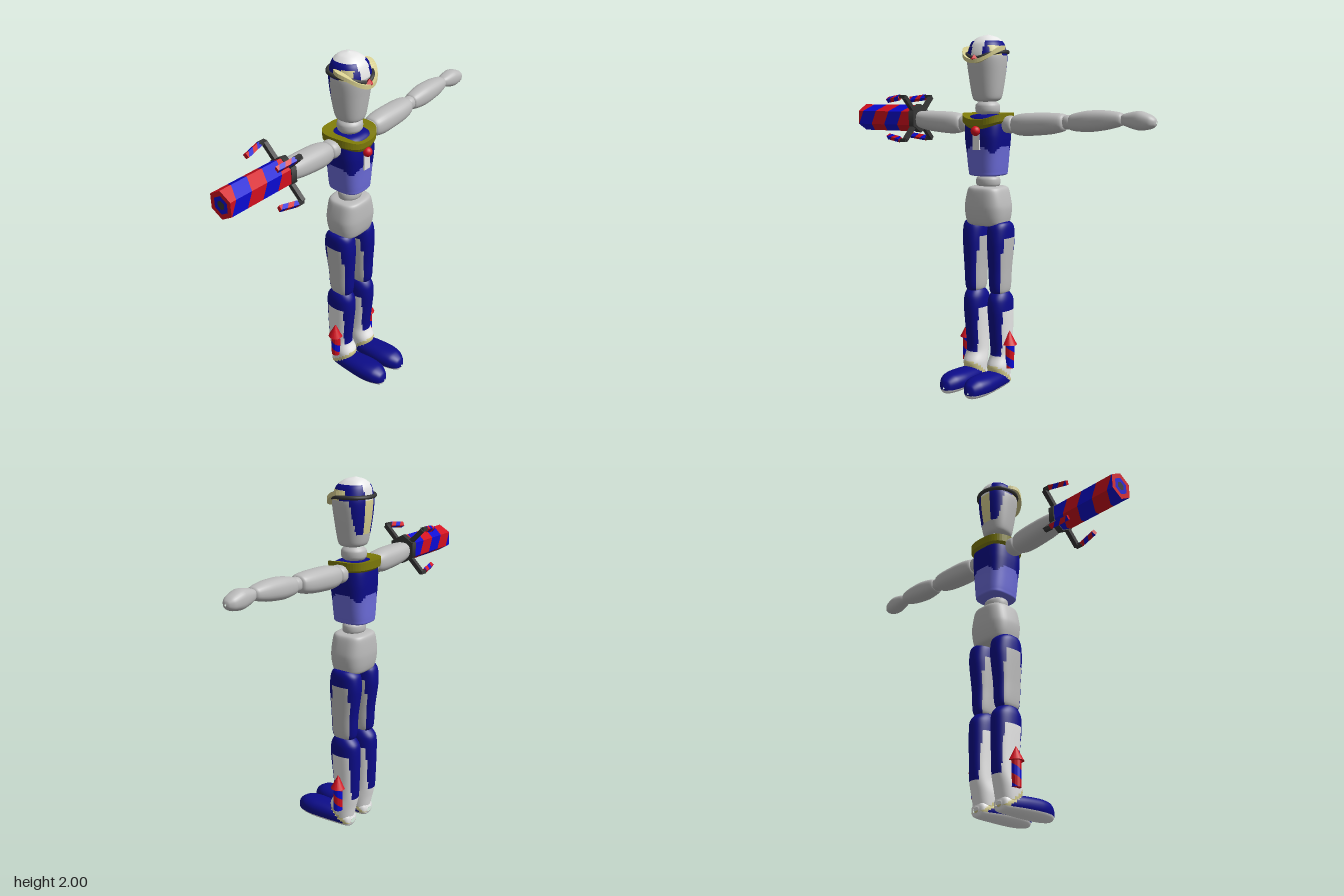
import * as THREE from 'three';

const mat = (name, color, side = THREE.FrontSide) => {
  const m = new THREE.MeshStandardMaterial({ color, side });
  m.name = name;
  return m;
};
const M = {
  grey: mat('body grey', 0xbcbcbc),
  white: mat('armour white', 0xe6e6e6),
  navy: mat('navy', 0x0c0c8a),
  blue: mat('bright blue', 0x0a0ad2),
  red: mat('red', 0xd20f1e),
  lilac: mat('periwinkle', 0x6c6cda),
  olive: mat('olive', 0x7d7a08, THREE.DoubleSide),
  dark: mat('dark grey', 0x363636),
  gold: mat('pale gold', 0xd8d090),
};

function add(parent, name, geo, material, x = 0, y = 0, z = 0) {
  const m = new THREE.Mesh(geo, material);
  m.name = name;
  m.position.set(x, y, z);
  parent.add(m);
  return m;
}

// Grid surface: u runs round, v runs along; paint(point, u) picks the face material
function surface(parent, name, fn, nu, nv, paint, closed = true, flat = false) {
  const cols = closed ? nu : nu + 1, pts = [], lists = new Map();
  for (let j = 0; j <= nv; j++) for (let i = 0; i < cols; i++) pts.push(fn(i / nu, j / nv));
  for (let j = 0; j < nv; j++) for (let i = 0; i < nu; i++) {
    const k = (i + 1) % cols, a = j * cols + i, b = j * cols + k, c = a + cols, d = b + cols;
    const mid = pts[a].clone().add(pts[d]).multiplyScalar(0.5);
    const m = paint(mid, (i + 0.5) / nu);
    if (!lists.has(m)) lists.set(m, []);
    lists.get(m).push(a, c, b, b, c, d);
  }
  let geo = new THREE.BufferGeometry().setFromPoints(pts);
  const mats = [...lists.keys()], index = [];
  mats.forEach((m, i) => {
    geo.addGroup(index.length, lists.get(m).length, i);
    index.push(...lists.get(m));
  });
  geo.setIndex(index);
  if (flat) {
    const groups = geo.groups;
    geo = geo.toNonIndexed();
    geo.groups = groups;
  }
  geo.computeVertexNormals();
  return add(parent, name, geo, mats);
}

// Rounded body lofted along y through keys [y, cx, cz, rx, rz]
function loft(parent, name, keys, paint, n = 2, nu = 48, nv = 44) {
  const path = new THREE.CatmullRomCurve3(keys.map(k => new THREE.Vector3(k[1], k[0], k[2])), false, 'catmullrom', 0.4);
  const size = new THREE.CatmullRomCurve3(keys.map(k => new THREE.Vector3(k[3], 0, k[4])), false, 'catmullrom', 0.4);
  const round = t => Math.sign(t) * Math.abs(t) ** (2 / n);
  return surface(parent, name, (u, v) => {
    const p = path.getPoint(v), s = size.getPoint(v), a = u * Math.PI * 2;
    p.x += round(Math.cos(a)) * Math.max(s.x, 0.001);
    p.z += round(Math.sin(a)) * Math.max(s.z, 0.001);
    return p;
  }, nu, nv, paint);
}

// Prism along +y wrapped in a two-colour helix
function stripedRod(parent, name, r, len, sides, pitch, phase) {
  const g = new THREE.Group(), step = Math.PI * 2 / sides;
  g.name = name;
  add(g, name + 'Core', new THREE.CylinderGeometry(r * 0.97, r * 0.97, len - 0.002, sides), M.red, 0, len / 2, 0);
  for (let n = -4; n < len / pitch * 2 + 2; n++) {
    const start = phase + n * pitch / 2;
    if (start > len || start + pitch * 1.5 < 0) continue;
    surface(g, name + 'Stripe', (u, v) => {
      const a = u * Math.PI * 2;
      const off = (((a - Math.PI / 2) % step) + step) % step - step / 2;
      const rad = r * Math.cos(step / 2) / Math.cos(off);
      const y = THREE.MathUtils.clamp(start + pitch * (u + v / 2), 0, len);
      return new THREE.Vector3(Math.cos(a) * rad, y, Math.sin(a) * rad);
    }, 36, 1, () => (n % 2 ? M.red : M.blue), false, true);
  }
  parent.add(g);
  return g;
}

// Gold ankle strap line: negative is heel, small positive is strap
const strap = (x, y) => (x + 0.13) - (y - 0.04) * 1.33;

function buildLeg(body, side) {
  const leg = new THREE.Group();
  leg.name = side > 0 ? 'rightLeg' : 'leftLeg';
  leg.position.z = side * 0.083;
  body.add(leg);
  const panel = (u, limit) => Math.abs(Math.cos(u * Math.PI * 2)) < limit;
  loft(leg, 'thigh', [[0.54, -0.09, 0, 0.01, 0.01], [0.57, -0.09, 0, 0.07, 0.046], [0.7, -0.09, 0, 0.08, 0.055],
    [0.85, -0.095, 0, 0.094, 0.063], [0.93, -0.095, 0, 0.086, 0.063], [0.962, -0.09, 0, 0.06, 0.05], [0.97, -0.09, 0, 0.01, 0.01]],
  (p, u) => (p.y < 0.88 && panel(u, p.y > 0.8 ? 0.5 : 0.72) ? M.grey : M.navy), 2.4);
  loft(leg, 'shin', [[0.02, -0.09, 0, 0.03, 0.03], [0.05, -0.085, 0, 0.055, 0.055], [0.13, -0.082, 0, 0.078, 0.064],
    [0.2, -0.105, 0, 0.072, 0.058], [0.3, -0.103, 0, 0.08, 0.058], [0.45, -0.096, 0, 0.09, 0.063],
    [0.52, -0.095, 0, 0.085, 0.061], [0.56, -0.09, 0, 0.055, 0.045], [0.572, -0.09, 0, 0.01, 0.01]],
  (p, u) => {
    if (p.y < 0.14 && strap(p.x, p.y) > -0.012) return M.gold;
    return p.y > 0.46 || (p.y > 0.19 && !panel(u, 0.62 + (0.46 - p.y) * 0.6)) ? M.navy : M.white;
  }, 2.2);
  // Shoe, lofted heel to toe
  const shoe = loft(leg, 'shoe', [[-0.15, -0.045, 0, 0.015, 0.02], [-0.13, -0.05, 0, 0.042, 0.05], [-0.02, -0.057, 0, 0.052, 0.068],
    [0.1, -0.06, 0, 0.056, 0.075], [0.17, -0.059, 0, 0.053, 0.063], [0.215, -0.05, 0, 0.037, 0.036], [0.23, -0.045, 0, 0.005, 0.005]],
  p => {
    if (-p.x < 0.034) return M.white;
    const d = strap(p.y, -p.x);
    return d < -0.012 ? M.white : d < 0.02 ? M.gold : M.navy;
  }, 2.3);
  shoe.rotation.z = -Math.PI / 2;
  // Rocket on the outer ankle
  const rocket = stripedRod(leg, 'rocketShaft', 0.027, 0.14, 12, 0.1, 0.02);
  rocket.position.set(-0.09, 0.125, side * 0.065);
  add(leg, 'rocketTip', new THREE.ConeGeometry(0.042, 0.08, 16), M.red, -0.09, 0.302, side * 0.065);
}

function buildArm(body, side) {
  const arm = new THREE.Group(), grey = () => M.grey;
  arm.name = side > 0 ? 'cannonArm' : 'openArm';
  arm.rotation.x = side * Math.PI / 2;
  body.add(arm);
  // keys: distance out, height, radius across, radius up
  const limb = (name, keys) => loft(arm, name, keys.map(([d, h, rx, ry]) => [d, -0.09, -side * h, rx, ry]), grey, 2.4, 28, 24);
  limb('shoulderJoint', [[0.1, 1.51, 0.01, 0.01], [0.125, 1.51, 0.05, 0.045], [0.17, 1.51, 0.05, 0.045], [0.19, 1.51, 0.01, 0.01]]);
  limb('upperArm', [[0.172, 1.51, 0.01, 0.01], [0.18, 1.51, 0.05, 0.048], [0.25, 1.512, 0.064, 0.062], [0.4, 1.52, 0.064, 0.058],
    [0.485, 1.527, 0.05, 0.045], [0.497, 1.528, 0.01, 0.01]]);
  limb('elbowJoint', [[0.48, 1.53, 0.01, 0.01], [0.495, 1.53, 0.035, 0.035], [0.53, 1.53, 0.035, 0.035], [0.545, 1.53, 0.01, 0.01]]);
  if (side > 0) return;
  limb('forearm', [[0.525, 1.53, 0.01, 0.01], [0.535, 1.53, 0.042, 0.042], [0.63, 1.537, 0.056, 0.056], [0.74, 1.545, 0.053, 0.05],
    [0.82, 1.55, 0.038, 0.033], [0.835, 1.55, 0.01, 0.01]]);
  limb('hand', [[0.815, 1.55, 0.02, 0.02], [0.85, 1.549, 0.037, 0.034], [0.92, 1.546, 0.047, 0.049], [0.98, 1.54, 0.04, 0.036],
    [1.005, 1.538, 0.022, 0.02], [1.012, 1.537, 0.005, 0.005]]);
}

function buildCannon(body) {
  const cannon = new THREE.Group();
  cannon.name = 'cannon';
  cannon.position.set(-0.088, 1.533, 0.5);
  body.add(cannon);
  stripedRod(cannon, 'barrel', 0.078, 0.41, 6, 0.2, 0.09).rotation.x = Math.PI / 2;
  add(cannon, 'muzzleRim', new THREE.RingGeometry(0.05, 0.078, 6, 1, Math.PI / 6), M.red, 0, 0, 0.4105);
  add(cannon, 'muzzleInner', new THREE.RingGeometry(0.025, 0.05, 6, 1, Math.PI / 6), M.blue, 0, 0, 0.4105);
  add(cannon, 'muzzleBore', new THREE.CircleGeometry(0.025, 6, Math.PI / 6), M.dark, 0, 0, 0.4105);
  add(cannon, 'mount', new THREE.CylinderGeometry(0.083, 0.083, 0.035, 6), M.dark, 0, 0, -0.004).rotation.x = Math.PI / 2;
  // Four prongs carrying small striped rods
  for (const sx of [-1, 1]) for (const sy of [-1, 1]) {
    const strut = add(cannon, 'strut', new THREE.BoxGeometry(0.11, 0.024, 0.025), M.dark, sx * 0.084, sy * 0.084, 0);
    strut.rotation.z = sx * sy * Math.PI / 4;
    add(cannon, 'prong', new THREE.BoxGeometry(0.02, 0.02, 0.045), M.dark, sx * 0.12, sy * 0.125, 0.018);
    const rod = stripedRod(cannon, 'rod', 0.018, 0.11, 4, 0.07, 0);
    rod.position.set(sx * 0.122, sy * 0.122, 0.035);
    rod.quaternion.setFromUnitVectors(new THREE.Vector3(0, 1, 0), new THREE.Vector3(-sx * 0.18, -sy * 0.14, 1).normalize());
  }
}

function buildHead(body) {
  const head = new THREE.Group();
  head.name = 'head';
  body.add(head);
  loft(head, 'helmetAndFace', [[1.63, -0.075, 0, 0.01, 0.01], [1.637, -0.075, 0, 0.055, 0.055], [1.66, -0.08, 0, 0.077, 0.08],
    [1.78, -0.08, 0, 0.097, 0.1], [1.88, -0.078, 0, 0.106, 0.109], [1.95, -0.082, 0, 0.09, 0.09],
    [1.985, -0.088, 0, 0.055, 0.052], [2, -0.09, 0, 0.005, 0.005]], p => {
    const z = Math.abs(p.z);
    if (p.y > 1.885) {
      if (z < 0.038) return M.white;
      return p.y < 1.935 && p.x > -0.06 && p.x < 0 ? M.gold : p.y > 1.965 ? M.white : M.navy;
    }
    if (p.y > 1.71 && p.x < -0.125 - (1.88 - p.y) * 0.12) return z < 0.035 ? M.gold : M.navy;
    return M.grey;
  }, 2.3, 64, 60);
  // Dark band dipping to a point at the brow
  const band = [[0.036, 1.868, 0], [0.02, 1.885, 0.06], [-0.03, 1.902, 0.102], [-0.09, 1.905, 0.113], [-0.15, 1.905, 0.09],
    [-0.188, 1.905, 0.03], [-0.188, 1.905, -0.03], [-0.15, 1.905, -0.09], [-0.09, 1.905, -0.113], [-0.03, 1.902, -0.102], [0.02, 1.885, -0.06]];
  const curve = new THREE.CatmullRomCurve3(band.map(p => new THREE.Vector3(...p)), true);
  add(head, 'browBand', new THREE.TubeGeometry(curve, 64, 0.011, 8, true), M.dark);
  // Gold crescent brim sweeping up into side wings
  surface(head, 'brim', (u, v) => {
    const k = Math.round(u * 4) % 4, a = (v - 0.5) * 3.5, s = Math.abs(Math.sin(a));
    const end = Math.min(1, (1 - Math.abs(v - 0.5) * 2) * 4 + 0.1);
    const r = 0.108 + (k === 1 || k === 2 ? 0.034 * end : 0);
    const y = 1.842 + 0.075 * s * s + (k > 1 ? 0.022 : 0);
    return new THREE.Vector3(-0.08 + Math.cos(a) * r, y, -Math.sin(a) * r * 0.96);
  }, 4, 32, () => M.gold, true, true);
  add(head, 'browGem', new THREE.OctahedronGeometry(0.024), M.red, 0.046, 1.866, 0);
}

function buildTorso(body) {
  const grey = () => M.grey;
  loft(body, 'neck', [[1.56, -0.088, 0, 0.05, 0.05], [1.58, -0.085, 0, 0.068, 0.068], [1.615, -0.085, 0, 0.068, 0.068],
    [1.635, -0.085, 0, 0.05, 0.05]], grey, 2, 32, 10);
  loft(body, 'torso', [[1.218, -0.092, 0, 0.01, 0.01], [1.224, -0.092, 0, 0.094, 0.086], [1.25, -0.092, 0, 0.104, 0.097],
    [1.35, -0.09, 0, 0.109, 0.108], [1.45, -0.088, 0, 0.115, 0.118], [1.53, -0.09, 0, 0.108, 0.115],
    [1.56, -0.09, 0, 0.08, 0.08], [1.57, -0.09, 0, 0.01, 0.01]],
  (p, u) => (p.y > 1.373 + 0.018 * Math.cos(u * Math.PI * 8) ? M.navy : M.lilac), 3, 64, 60);
  add(body, 'chestStrip', new THREE.BoxGeometry(0.03, 0.09, 0.045), M.white, 0.016, 1.415, 0);
  add(body, 'chestGem', new THREE.SphereGeometry(0.027, 16, 12), M.red, 0.034, 1.475, 0);
  // Flared collar, dipping to a point at the chest
  surface(body, 'collar', (u, v) => {
    const a = u * Math.PI * 2, c = Math.cos(a), s = Math.sin(a), j = Math.round(v * 3);
    const r = [0.118, 0.136, 0.138, 0.072][j];
    const front = Math.max(0, c) ** 3;
    const y = [1.515 - 0.045 * front, 1.53 - 0.025 * front, 1.572 - 0.035 * front, 1.56 - 0.015 * front][j];
    const q = t => Math.sign(t) * Math.abs(t) ** 0.75;
    return new THREE.Vector3(-0.09 + q(c) * r * 0.92, y, q(s) * r);
  }, 48, 3, () => M.olive, true, true);
  loft(body, 'waist', [[1.15, -0.09, 0, 0.04, 0.05], [1.17, -0.09, 0, 0.06, 0.07], [1.205, -0.09, 0, 0.06, 0.07],
    [1.225, -0.09, 0, 0.04, 0.05]], grey, 2, 32, 10);
  loft(body, 'pelvis', [[0.935, -0.092, 0, 0.01, 0.01], [0.943, -0.092, 0, 0.08, 0.105], [0.98, -0.092, 0, 0.098, 0.123],
    [1.05, -0.092, 0, 0.106, 0.128], [1.14, -0.092, 0, 0.1, 0.108], [1.161, -0.092, 0, 0.08, 0.085], [1.167, -0.092, 0, 0.01, 0.01]],
  grey, 3);
}

export function createModel() {
  const root = new THREE.Group(), body = new THREE.Group();
  root.name = 'figure';
  body.name = 'body';
  body.position.z = 0.049;
  root.add(body);
  buildHead(body);
  buildTorso(body);
  for (const side of [-1, 1]) {
    buildLeg(body, side);
    buildArm(body, side);
  }
  buildCannon(body);
  return root;
}
